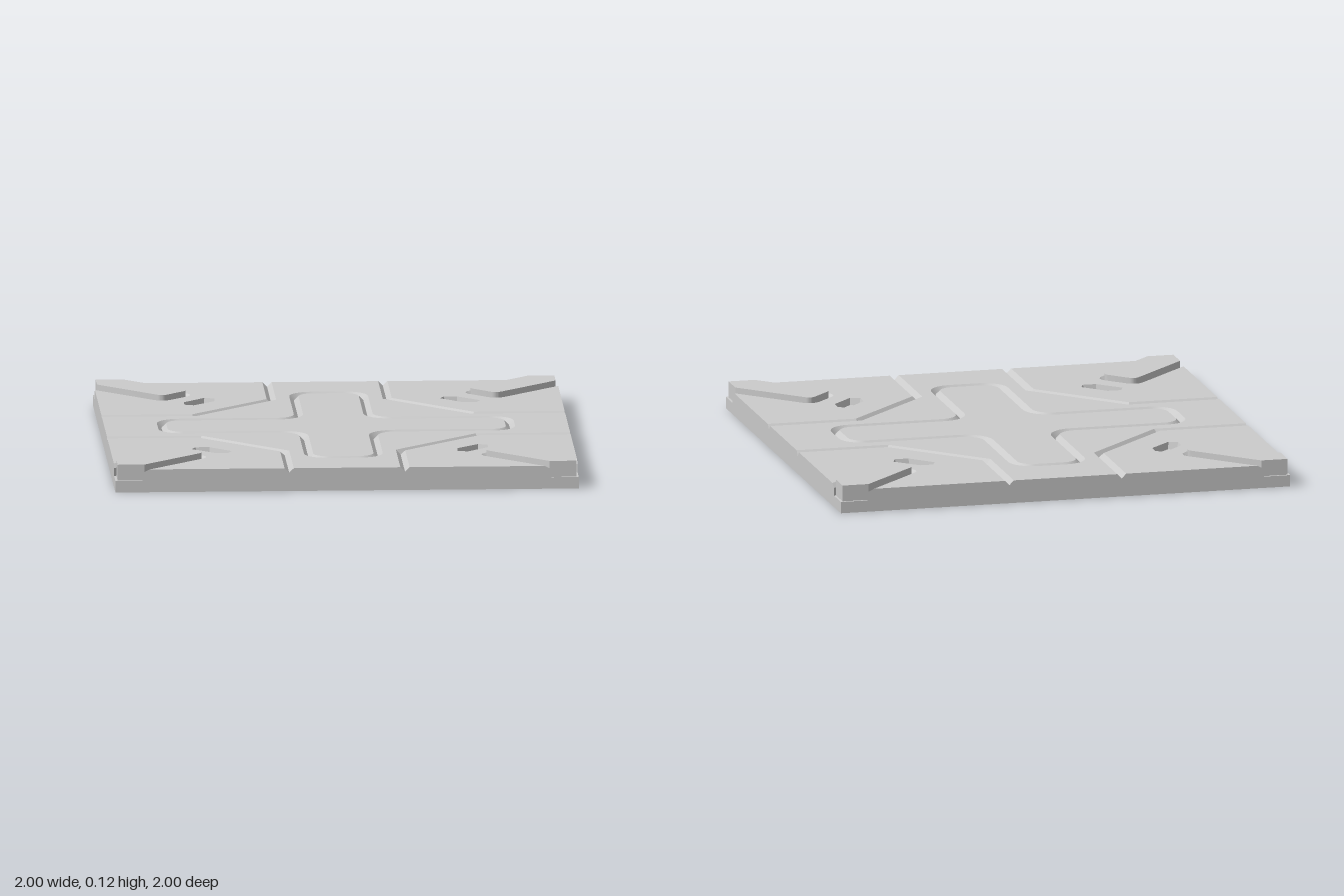
import * as THREE from 'three';
import { toCreasedNormals } from 'three/addons/utils/BufferGeometryUtils.js';

const TOP = 0.1, GROOVE = 0.08, NOTCH = 0.05, BAR_TOP = 0.12;
const S2 = Math.SQRT2;
const solid = new THREE.MeshStandardMaterial({ color: 0xcccccc });
const thin = new THREE.MeshStandardMaterial({ color: 0xcccccc, side: THREE.DoubleSide });

// Plan points are [x, z]; diagonal points use u (outward) and v (across)
const diag = (u, v) => [(u + v) / S2, (u - v) / S2];
const quarter = ([x, z]) => [-z, x];
const toShape = (pts) => new THREE.Shape(pts.map(([x, z]) => new THREE.Vector2(x, -z)));

function add(parent, name, geo, mat = solid) {
  const m = new THREE.Mesh(geo, mat);
  m.name = name;
  parent.add(m);
  return m;
}

// Flat horizontal face, with optional holes
function plate(parent, name, pts, y, holes = []) {
  const shape = toShape(pts);
  shape.holes = holes.map(toShape);
  const geo = new THREE.ShapeGeometry(shape).rotateX(-Math.PI / 2).translate(0, y, 0);
  return add(parent, name, geo);
}

// Ribbon between two plan outlines at two heights
function strip(parent, name, a, ya, b, yb, closed = false) {
  const pos = [];
  const n = a.length;
  for (let i = 0; i < (closed ? n : n - 1); i++) {
    const j = (i + 1) % n;
    const p = [a[i][0], ya, a[i][1]], q = [a[j][0], ya, a[j][1]];
    const r = [b[j][0], yb, b[j][1]], s = [b[i][0], yb, b[i][1]];
    pos.push(...p, ...q, ...r, ...p, ...r, ...s);
  }
  const geo = new THREE.BufferGeometry();
  geo.setAttribute('position', new THREE.Float32BufferAttribute(pos, 3));
  geo.computeVertexNormals();
  return add(parent, name, toCreasedNormals(geo, 0.5), thin);
}

function arc(cx, cz, r, a0, a1, steps = 6) {
  return Array.from({ length: steps + 1 }, (_, i) => {
    const a = (a0 + ((a1 - a0) * i) / steps) * (Math.PI / 180);
    return [cx + r * Math.cos(a), cz + r * Math.sin(a)];
  });
}

// Repeat a quarter of an outline around the centre
function around(pts) {
  const out = [];
  for (let k = 0, p = pts; k < 4; k++, p = p.map(quarter)) out.push(...p);
  return out;
}

// Rounded cross outline, offset outward by d
function cross(d) {
  const w = 0.15 + d, e = 0.75 + d, r = 0.085 + d;
  return around([
    ...arc(e - r, r - w, r, -90, 0),
    ...arc(e - r, w - r, r, 0, 90),
    ...arc(0.25, 0.25, 0.1 - d, -90, -180),
  ]);
}

// Angled groove line across one corner, offset toward the corner by d
function cornerLine(d) {
  const a = 0.25 + d, b = 0.6 + 0.414 * d;
  return [[1, a], [b, a], [a, b], [a, 1]];
}

// U-shaped outline of the corner bar: half width h, tip t, tip radius r, clipped at e
function barLine(h, t, r, e = 1) {
  return [
    [h, e * S2 - h],
    ...arc(h - r, t + r, r, 0, -90),
    ...arc(r - h, t + r, r, -90, -180),
    [-h, e * S2 - h],
  ].map(([v, u]) => diag(u, v));
}

const POCKET = [[0.04, 0.055], [0.042, -0.078], [0, -0.096], [-0.042, -0.052], [-0.04, 0.08], [0, 0.096]];
const pocket = (s) => POCKET.map(([u, v]) => diag(0.796 + u * s, v * s));

// One corner of the tile plus the slab side facing +z
function buildQuarter() {
  const g = new THREE.Group();
  const outer = barLine(0.104, 0.915, 0.05);
  const inner = barLine(0.083, 0.936, 0.029);

  // Corner plate with pocket
  plate(g, 'cornerPlate', [...cornerLine(0.02).reverse(), ...outer], TOP, [pocket(1)]);
  strip(g, 'pocketWall', pocket(1), TOP, pocket(0.88), 0.07, true);
  plate(g, 'pocketFloor', pocket(0.88), 0.07);

  // Angled V groove
  strip(g, 'grooveInnerSlope', cornerLine(-0.02), TOP, cornerLine(0), GROOVE);
  strip(g, 'grooveOuterSlope', cornerLine(0), GROOVE, cornerLine(0.02), TOP);

  // Notch that holds the corner bar
  strip(g, 'notchBevel', outer, TOP, inner, 0.085);
  strip(g, 'notchWall', inner, 0.085, inner, NOTCH);
  plate(g, 'notchFloor', [...inner, [1, 1]], NOTCH);

  // Raised diagonal bar, set slightly in from the slab corner
  const barShape = toShape([...barLine(0.082, 0.937, 0.028, 0.99), [0.99, 0.99]]);
  const bar = new THREE.ExtrudeGeometry(barShape, { depth: BAR_TOP - NOTCH, bevelEnabled: false });
  bar.rotateX(-Math.PI / 2).translate(0, NOTCH, 0);
  add(g, 'cornerBar', toCreasedNormals(bar, 0.5));

  // Slab side with the groove and notch profile
  const half = [[0.23, TOP], [0.25, GROOVE], [0.27, TOP], [1 - 0.104 * S2, TOP],
    [1 - 0.083 * S2, 0.085], [1 - 0.083 * S2, NOTCH], [1, NOTCH], [1, 0]];
  const profile = [...half, ...half.map(([x, y]) => [-x, y]).reverse()];
  const side = new THREE.Shape(profile.map(([x, y]) => new THREE.Vector2(x, y)));
  add(g, 'slabSide', new THREE.ShapeGeometry(side).translate(0, 0, 1));
  return g;
}

export function createModel() {
  const model = new THREE.Group();
  model.name = 'floorTile';

  // Central plates and the cross-shaped V groove between them
  plate(model, 'crossPlate', cross(-0.02), TOP);
  plate(model, 'middlePlate', around(cornerLine(-0.02)), TOP, [cross(0.02)]);
  strip(model, 'crossGrooveInnerSlope', cross(-0.02), TOP, cross(0), GROOVE, true);
  strip(model, 'crossGrooveOuterSlope', cross(0), GROOVE, cross(0.02), TOP, true);

  // Underside
  add(model, 'slabBottom', new THREE.PlaneGeometry(2, 2).rotateX(Math.PI / 2));

  // Four identical corners
  for (let k = 0; k < 4; k++) {
    const q = buildQuarter();
    q.name = 'tileCorner' + (k + 1);
    q.rotation.y = (k * Math.PI) / 2;
    model.add(q);
  }
  return model;
}
